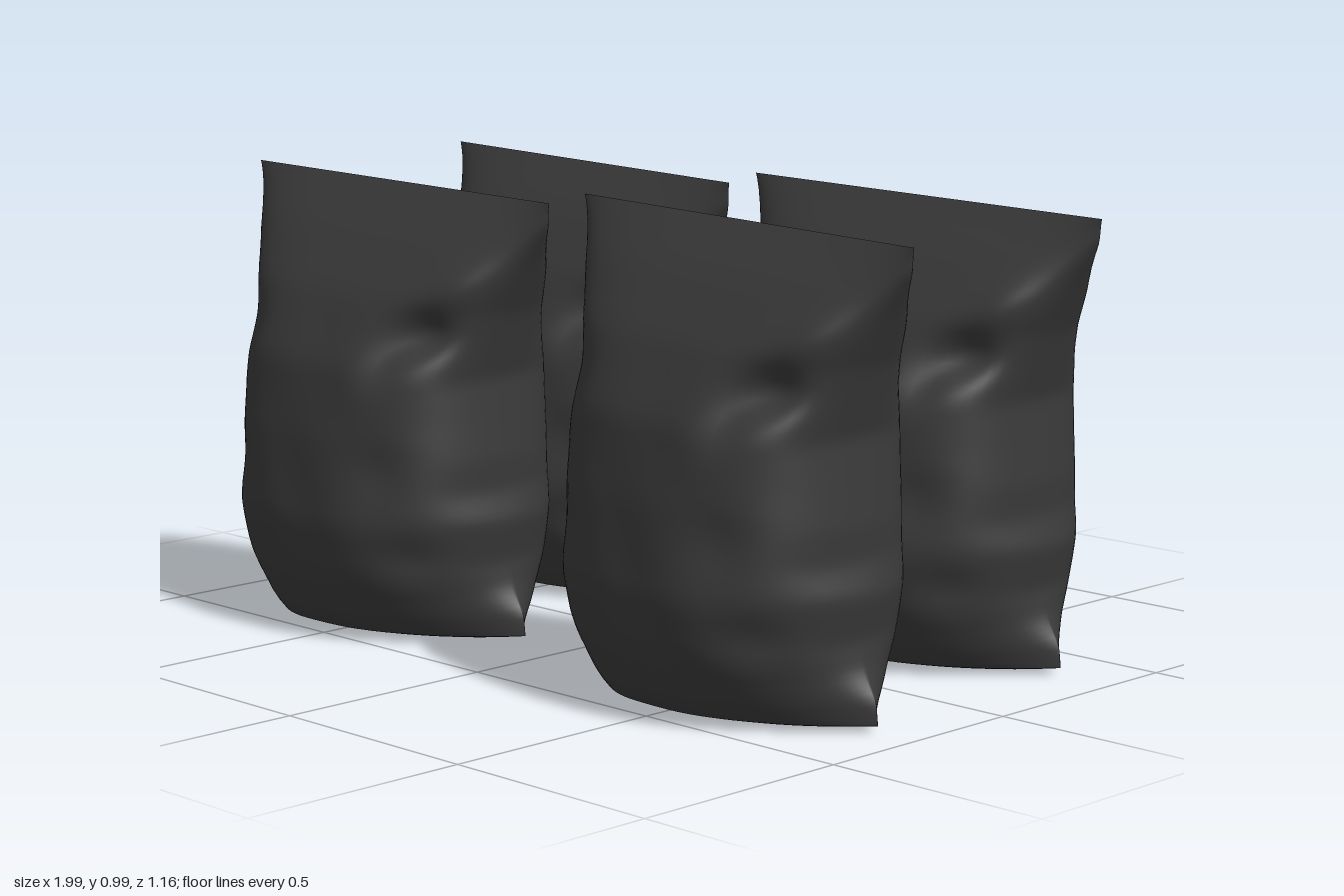
import * as THREE from 'three';

// piecewise profile lookup, softened so creases stay cloth-like
function lin(table, y) {
  let i = 0;
  while (i < table.length - 2 && y > table[i + 1][0]) i++;
  const [y0, v0] = table[i], [y1, v1] = table[i + 1];
  return v0 + (v1 - v0) * (y - y0) / (y1 - y0);
}
const soft = (t, y, d = 0.025) => (lin(t, y - d) + 2 * lin(t, y) + lin(t, y + d)) / 4;

// half widths of the two side seams, crumpled down the sides
const EDGE_NEG = [[0, 0.405], [0.045, 0.415], [0.13, 0.325], [0.19, 0.383], [0.27, 0.36], [0.34, 0.383],
  [0.45, 0.352], [0.55, 0.373], [0.61, 0.345], [0.7, 0.325], [0.86, 0.425], [0.93, 0.45], [1, 0.47]];
const EDGE_POS = [[0, 0.395], [0.05, 0.39], [0.12, 0.355], [0.18, 0.345], [0.28, 0.362], [0.35, 0.342],
  [0.42, 0.345], [0.6, 0.328], [0.75, 0.37], [0.86, 0.42], [0.95, 0.467], [1, 0.475]];
// smooth half width of the body between the seams
const BODY = [[0, 0.4], [0.15, 0.365], [0.4, 0.361], [0.62, 0.35], [0.75, 0.367], [0.86, 0.422], [1, 0.472]];
// depth of the bulge in front of and behind the seam
const FRONT = [[0, 0.24], [0.03, 0.262], [0.165, 0.302], [0.27, 0.315], [0.46, 0.296], [0.62, 0.265],
  [0.77, 0.19], [0.9, 0.092], [1, 0]];
const BACK = [[0, 0.16], [0.05, 0.212], [0.2, 0.247], [0.42, 0.24], [0.64, 0.22], [0.84, 0.145], [0.95, 0.06], [1, 0]];
// section shape: how square the faces are, and how pinched the sides
const SQUARE = [[0, 2.3], [0.2, 2.6], [0.5, 2.8], [0.7, 3.5], [0.85, 4], [1, 4]];
const PINCH = [[0, 1.3], [0.06, 0.95], [0.15, 0.6], [0.28, 0.46], [0.6, 0.43], [0.8, 0.42], [1, 0.5]];
// dents and folds: side, across, height, strength, width, height spread
const FOLDS = [
  [1, 0.72, 0.7, -0.26, 0.19, 0.055], [1, 0.55, 0.64, -0.08, 0.12, 0.05], [1, 0.85, 0.82, 0.1, 0.14, 0.05],
  [1, 0.6, 0.4, -0.05, 0.15, 0.07], [1, -0.75, 0.67, -0.06, 0.15, 0.06], [1, -0.7, 0.36, -0.04, 0.2, 0.06],
  [1, 0.75, 0.2, -0.06, 0.15, 0.05], [-1, 0.75, 0.68, -0.06, 0.18, 0.06], [-1, -0.75, 0.7, -0.08, 0.18, 0.06],
  [-1, -0.7, 0.3, -0.04, 0.2, 0.06], [-1, 0.7, 0.4, -0.04, 0.2, 0.06],
];

function bagPoint(v, t, shrink) {
  const c = Math.cos(t), side = Math.sin(t) >= 0 ? 1 : -1;
  const a = Math.abs(c);
  const body = soft(BODY, v, 0.05), edge = soft(c < 0 ? EDGE_NEG : EDGE_POS, v, 0.012);
  // crumples stay close to the side seams
  const x = c * (body + (edge - body) * Math.pow(a, 9));
  const depth = Math.max(0, soft(side > 0 ? FRONT : BACK, v));
  // the back face is a little squarer than the front
  const power = soft(SQUARE, v) + (side < 0 ? 0.35 : 0);
  const z = depth * Math.pow(Math.max(0, 1 - Math.pow(a, power)), soft(PINCH, v));
  let fold = 0.012 * Math.sin(9 * c + 5 * v) * Math.sin(13 * v + 2 * c) * (1 - v);
  for (const [s, fc, fv, k, w, h] of FOLDS) {
    if (s === side) fold += k * Math.exp(-(((c - fc) / w) ** 2) - ((v - fv) / h) ** 2);
  }
  // sloping top edge, lifted bottom corners, rounded underside
  const y = v * (0.972 - 0.013 * c) + 0.016 * Math.pow(a, 4) * Math.max(0, 1 - v * 4)
    + 0.024 * shrink ** 3 * (1 - a * a) * Math.max(0, 1 - v * 8);
  return [x, y, z * side * (1 + fold) * shrink];
}

function bagGeometry() {
  const around = 96, up = 72;
  const rings = [0, 0.25, 0.5, 0.7, 0.85, 0.95].map(k => [0, k]);   // closed underside
  for (let i = 0; i <= up; i++) rings.push([i / up, 1]);
  rings[rings.length - 1][1] = 0;                                  // closed top seam
  const positions = [], index = [];
  rings.forEach(([v, shrink], i) => {
    for (let j = 0; j < around; j++) {
      positions.push(...bagPoint(v, j / around * Math.PI * 2, shrink));
      if (i === rings.length - 1) continue;
      const k = (j + 1) % around, a = i * around, b = a + around;
      index.push(a + j, b + j, a + k, a + k, b + j, b + k);
    }
  });
  const geo = new THREE.BufferGeometry();
  geo.setAttribute('position', new THREE.Float32BufferAttribute(positions, 3));
  geo.setIndex(index);
  geo.computeVertexNormals();
  return geo;
}

export function createModel() {
  const group = new THREE.Group();
  group.name = 'bags';
  const cloth = new THREE.MeshStandardMaterial({ color: 0x393939 });
  const geo = bagGeometry();
  // two rows of two, each turned a touch
  const places = [
    ['frontRightBag', -0.51, 0.262, 0.015], ['frontLeftBag', 0.52, 0.257, -0.05],
    ['backRightBag', -0.53, -0.334, -0.05], ['backLeftBag', 0.48, -0.334, 0.015],
  ];
  for (const [name, x, z, turn] of places) {
    const bag = new THREE.Mesh(geo, cloth);
    bag.name = name;
    bag.position.set(x, 0, z);
    bag.rotation.y = turn;
    group.add(bag);
  }
  return group;
}
